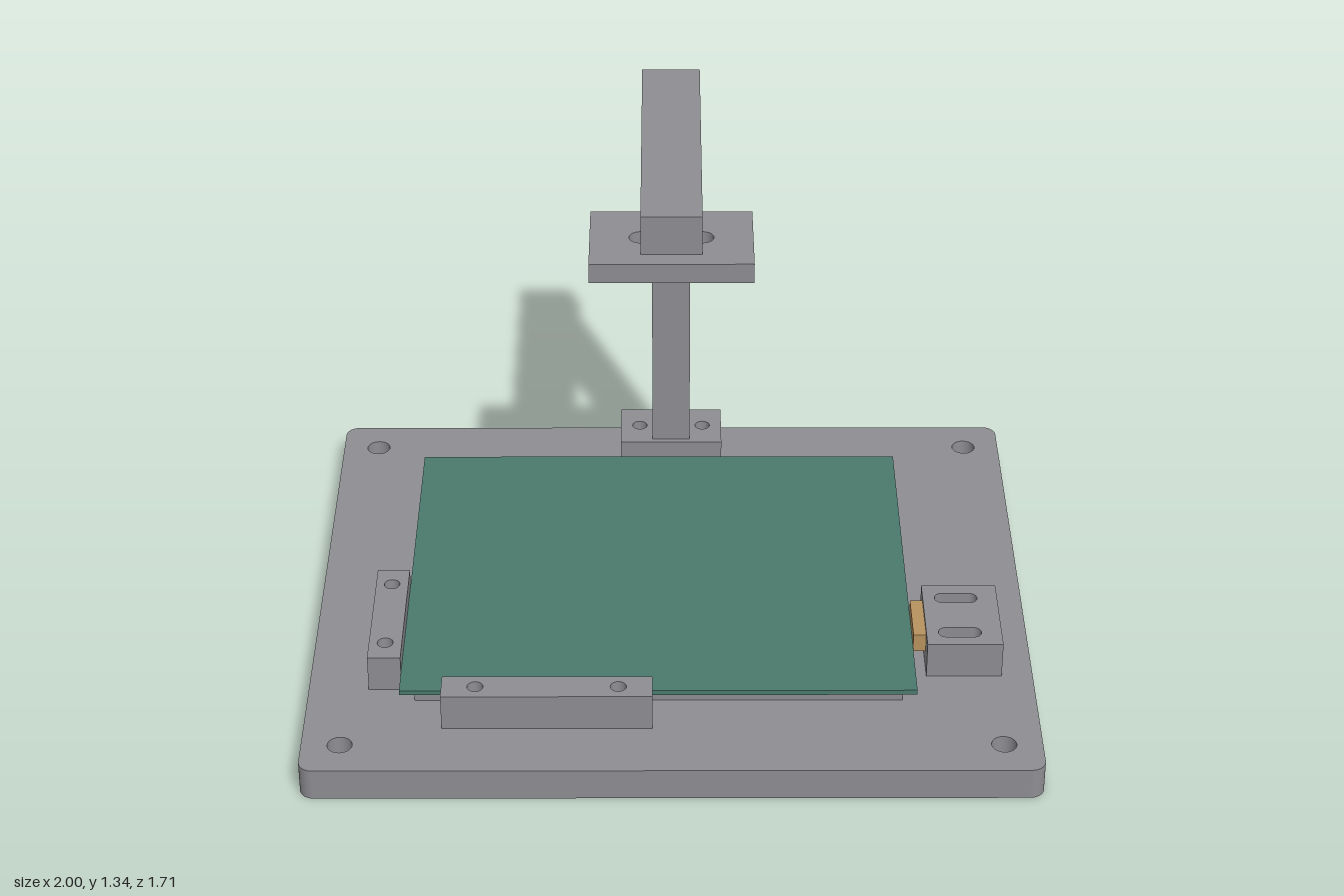
import * as THREE from 'three';

const metal = new THREE.MeshStandardMaterial({ name: 'grey metal', color: 0x8e8e93 });
const green = new THREE.MeshStandardMaterial({ name: 'board green', color: 0x4a7a6c });
const tan = new THREE.MeshStandardMaterial({ name: 'pad tan', color: 0xb8935f });

// Rounded slot outline in plan (a circle when half is 0)
function slot(x, z, r, half = 0) {
  const p = new THREE.Path();
  if (half === 0) {
    p.absarc(x, -z, r, 0, Math.PI * 2, true);
  } else {
    p.absarc(x + half, -z, r, Math.PI / 2, -Math.PI / 2, true);
    p.absarc(x - half, -z, r, -Math.PI / 2, -Math.PI * 1.5, true);
    p.closePath();
  }
  return p;
}

// Upright plate from a plan rectangle, with optional corner radius and holes
function plate(name, [x0, x1], [y0, y1], [z0, z1], holes = [], radius = 0) {
  const s = new THREE.Shape();
  const a = -z1, b = -z0, r = radius;
  if (r > 0) {
    s.absarc(x1 - r, a + r, r, -Math.PI / 2, 0);
    s.absarc(x1 - r, b - r, r, 0, Math.PI / 2);
    s.absarc(x0 + r, b - r, r, Math.PI / 2, Math.PI);
    s.absarc(x0 + r, a + r, r, Math.PI, Math.PI * 1.5);
  } else {
    s.moveTo(x0, a).lineTo(x1, a).lineTo(x1, b).lineTo(x0, b);
  }
  s.closePath();
  s.holes = holes;
  const g = new THREE.ExtrudeGeometry(s, { depth: y1 - y0, bevelEnabled: false, curveSegments: 16 });
  g.rotateX(-Math.PI / 2).translate(0, y0, 0);
  const m = new THREE.Mesh(g, metal);
  m.name = name;
  return m;
}

// Plain box given by its extents
function box(name, material, [x0, x1], [y0, y1], [z0, z1]) {
  const m = new THREE.Mesh(new THREE.BoxGeometry(x1 - x0, y1 - y0, z1 - z0), material);
  m.position.set((x0 + x1) / 2, (y0 + y1) / 2, (z0 + z1) / 2);
  m.name = name;
  return m;
}

export function createModel() {
  const model = new THREE.Group();
  model.name = 'inspectionFixture';
  const top = 0.093, screw = 0.022;

  // Screw positions shared by the base and the parts bolted to it
  const sideScrews = [[-0.79, 0.14], [-0.79, 0.42]];
  const frontScrews = [[-0.533, 0.622], [-0.145, 0.622]];
  const footScrews = [[-0.095, -0.735], [0.095, -0.735]];
  const clampScrews = [[0.798, 0.21], [0.798, 0.374]];
  const spareScrews = [[0.325, 0.21], [0.325, 0.374]];
  const drill = (list) => list.map(([x, z]) => slot(x, z, screw));

  // Base plate with mounting holes in its corners
  const corners = [];
  for (const x of [-0.895, 0.895]) for (const z of [-0.74, 0.74]) corners.push(slot(x, z, 0.034));
  const allScrews = [...sideScrews, ...frontScrews, ...footScrews, ...clampScrews, ...spareScrews];
  model.add(plate('basePlate', [-1, 1], [0, top], [-0.853, 0.853], [...corners, ...drill(allScrews)], 0.04));

  // Support rails and the board lying on them
  for (const z of [-0.01, 0.492]) {
    model.add(box('supportRail', metal, [-0.705, 0.633], [top, 0.135], [z - 0.05, z + 0.05]));
  }
  model.add(box('board', green, [-0.744, 0.67], [0.135, 0.15], [-0.6, 0.574]));

  // Locating stops along two edges
  model.add(plate('sideStop', [-0.835, -0.744], [top, 0.2], [0.07, 0.492], drill(sideScrews)));
  model.add(plate('frontStop', [-0.625, -0.053], [top, 0.2], [0.577, 0.668], drill(frontScrews)));

  // Sliding clamp with slots and a soft pad
  const slots = clampScrews.map(([x, z]) => slot(x, z, screw, 0.038));
  model.add(plate('clampBlock', [0.705, 0.914], [top, 0.2], [0.15, 0.432], slots));
  model.add(box('clampPad', tan, [0.67, 0.705], [0.135, 0.19], [0.208, 0.374]));

  // Post on its foot, arm and slotted head plate
  model.add(plate('postFoot', [-0.152, 0.152], [top, 0.177], [-0.825, -0.64], drill(footScrews)));
  model.add(box('post', metal, [-0.056, 0.056], [0.177, 1.228], [-0.8, -0.657]));
  model.add(box('arm', metal, [-0.083, 0.083], [1.228, 1.343], [-0.812, 0.07]));
  model.add(plate('headPlate', [-0.222, 0.222], [1.17, 1.228], [-0.17, 0.122], [slot(0, -0.026, 0.031, 0.084)]));

  return model;
}
